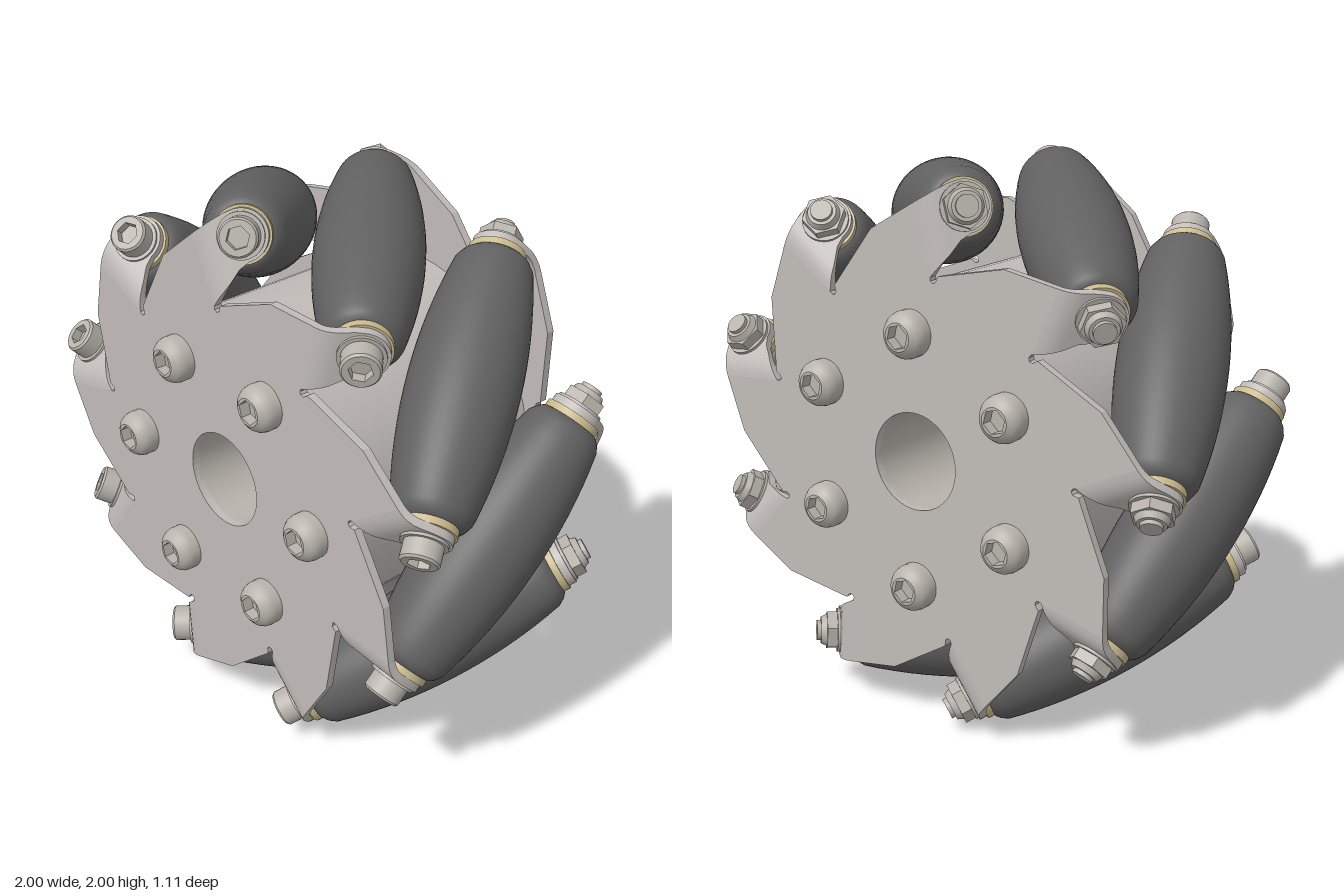
import * as THREE from 'three';
import { toCreasedNormals } from 'three/addons/utils/BufferGeometryUtils.js';

const RAD = Math.PI / 180;
const COUNT = 9;            // rollers
const RC = 0.81;            // roller centre radius
const SCREW = 62.6;         // polar angle of the first screw, degrees
const Z_PLATE = 0.462, THICK = 0.03, BORE = 0.175;
const BEND_X = 0.253, BEND_R = 0.1;

const material = (name, color, side = THREE.FrontSide) => {
  const m = new THREE.MeshStandardMaterial({ color, side });
  m.name = name;
  return m;
};

export function createModel() {
  const steel = material('plate steel', 0xc0bbb7);
  const boltSteel = material('bolt steel', 0xb8b3ac, THREE.DoubleSide);
  const rubber = material('dark rubber', 0x606060);
  const brass = material('brass bushing', 0xc9b98c);

  const add = (parent, name, geometry, mat) => {
    const mesh = new THREE.Mesh(geometry, mat);
    mesh.name = name;
    parent.add(mesh);
    return mesh;
  };
  const group = (parent, name) => {
    const g = new THREE.Group();
    g.name = name;
    parent.add(g);
    return g;
  };
  // Cylinder spanning y0..y1
  const rod = (r, y0, y1, sides = 32, open = false) =>
    new THREE.CylinderGeometry(r, r, y1 - y0, sides, 1, open).translate(0, (y0 + y1) / 2, 0);

  // Star-shaped flat plate with a slot beside every tab
  const polar = (r, deg) => new THREE.Vector2(r * Math.cos(deg * RAD), r * Math.sin(deg * RAD));
  const outline = [];
  for (let k = 0; k < COUNT; k++) {
    const turn = (k * 360) / COUNT;
    const spin = p => p.rotateAround(new THREE.Vector2(), turn * RAD);
    outline.push(
      spin(new THREE.Vector2(BEND_X, 0.61)),
      spin(new THREE.Vector2(BEND_X, 0.86)),
      polar(0.81, SCREW + 24 + turn),
      polar(0.67, SCREW + 42.3 + turn),
      polar(0.648, SCREW + 42.8 + turn),
      polar(0.642, SCREW + 43.8 + turn),
      polar(0.648, SCREW + 44.7 + turn));
  }
  const plateShape = new THREE.Shape(outline);
  plateShape.holes.push(new THREE.Path().absarc(0, 0, BORE, 0, Math.PI * 2, true));
  const plateGeo = new THREE.ExtrudeGeometry(plateShape, { depth: THICK, bevelEnabled: false, curveSegments: 24 })
    .translate(0, 0, Z_PLATE - THICK / 2);

  // Bent tab: stations [u, low, high] along a path that arcs 45 degrees inward
  const arcLength = BEND_R * Math.PI / 4, uScrew = 0.157, tip = 0.09;
  const stations = [[0, -0.2, 0.05], [0.02, -0.185, 0.056], [0.04, -0.17, 0.062], [0.06, -0.155, 0.069],
    [arcLength, -0.14, 0.075], [0.12, -0.105, 0.086]];
  for (let i = 0; i <= 10; i++) {
    const a = (i / 10) * Math.PI / 2;
    const h = i === 10 ? 0 : tip * Math.cos(a);
    stations.push([uScrew + tip * Math.sin(a), -h, h]);
  }
  const pos = [], index = [];
  stations.forEach(([u, low, high], i) => {
    const phi = Math.min(u, arcLength) / BEND_R, rest = Math.max(0, u - arcLength);
    const s = Math.sin(phi), c = Math.cos(phi);
    const x = BEND_X + BEND_R * s + rest * c;
    const z = Z_PLATE - BEND_R + BEND_R * c - rest * s;
    const h = THICK / 2;
    for (const [v, o] of [[low, h], [high, h], [high, -h], [low, -h]]) pos.push(x + s * o, RC + v, z + c * o);
    if (i === stations.length - 1) return;
    for (let j = 0; j < 4; j++) {
      const a = i * 4 + j, d = i * 4 + (j + 1) % 4;
      index.push(a, a + 4, d + 4, a, d + 4, d);
    }
  });
  let tabGeo = new THREE.BufferGeometry();
  tabGeo.setAttribute('position', new THREE.Float32BufferAttribute(pos, 3));
  tabGeo.setIndex(index);
  tabGeo = toCreasedNormals(tabGeo, 0.5);

  // Crowned roller: its outer line follows the wheel's rolling circle
  const crown = t => Math.sqrt(1 - t * t / 2) - RC;
  const profile = [[0, -0.5], [0.085, -0.5], [0.105, -0.494], [0.121, -0.48]];
  for (let i = 0; i <= 16; i++) {
    const t = -0.455 + (i / 16) * 0.91;
    profile.push([crown(t), t]);
  }
  profile.push([0.121, 0.48], [0.105, 0.494], [0.085, 0.5], [0, 0.5]);
  const rollerGeo = new THREE.LatheGeometry(profile.map(p => new THREE.Vector2(...p)), 48);

  // Hexagonal socket recessed into a head whose flat top is at height y
  const addSocket = (parent, outer, hex, y, depth) => {
    const face = new THREE.Shape().absarc(0, 0, outer, 0, Math.PI * 2);
    const points = [];
    for (let i = 0; i < 6; i++) points.push(polar(hex, -60 * i));
    face.holes.push(new THREE.Path(points));
    add(parent, 'headFace', new THREE.ShapeGeometry(face, 16).rotateX(-Math.PI / 2).translate(0, y, 0), boltSteel);
    add(parent, 'socketWall', toCreasedNormals(rod(hex, y - depth, y, 6, true).rotateY(Math.PI / 6), 0.3), boltSteel);
    add(parent, 'socketFloor', new THREE.CircleGeometry(hex, 6).rotateX(-Math.PI / 2).translate(0, y - depth, 0), boltSteel);
  };

  const capScrew = parent => {
    const g = group(parent, 'capScrew');
    add(g, 'washer', rod(0.08, 0.548, 0.56), boltSteel);
    add(g, 'headSide', rod(0.067, 0.555, 0.62, 32, true), boltSteel);
    add(g, 'headChamfer', new THREE.CylinderGeometry(0.06, 0.067, 0.008, 32, 1, true).translate(0, 0.624, 0), boltSteel);
    addSocket(g, 0.06, 0.04, 0.628, 0.035);
  };

  const lockNut = parent => {
    const g = group(parent, 'lockNut');
    add(g, 'washer', rod(0.082, 0.548, 0.56), boltSteel);
    add(g, 'nut', toCreasedNormals(rod(0.076, 0.56, 0.598, 6), 0.3), boltSteel);
    add(g, 'nutCollar', new THREE.CylinderGeometry(0.05, 0.06, 0.022, 32).translate(0, 0.609, 0), boltSteel);
    add(g, 'threadEnd', rod(0.038, 0.6, 0.635), boltSteel);
  };

  const domeGeo = new THREE.LatheGeometry(
    [[0.083, 0], [0.084, 0.03], [0.08, 0.048], [0.07, 0.064], [0.05, 0.078]].map(p => new THREE.Vector2(...p)), 32);

  // One face of the wheel, seen along +z
  const buildSide = (parent, name, fastener) => {
    const side = group(parent, name);
    add(side, 'sidePlate', plateGeo, steel);
    for (let k = 0; k < COUNT; k++) {
      const arm = group(side, 'rollerMount');
      arm.rotation.z = (k * Math.PI * 2) / COUNT;
      add(arm, 'bentTab', tabGeo, steel);
      const axle = group(arm, 'axleEnd');
      axle.position.y = RC;
      axle.rotation.set(Math.PI / 2, Math.PI / 4, 0, 'YXZ');
      add(axle, 'bushing', rod(0.1, 0.49, 0.521), brass);
      fastener(axle);
    }
    for (let k = 0; k < 6; k++) {
      const bolt = group(side, 'hubBolt');
      const p = polar(0.455, 14.8 + 60 * k);
      bolt.position.set(p.x, p.y, Z_PLATE + THICK / 2);
      bolt.rotation.x = Math.PI / 2;
      add(bolt, 'domeHead', domeGeo, boltSteel);
      addSocket(bolt, 0.05, 0.044, 0.078, 0.04);
    }
    return side;
  };

  const model = new THREE.Group();
  model.name = 'omnidirectionalWheel';
  const wheel = group(model, 'wheel');
  wheel.position.y = 1;
  wheel.rotation.z = -15.8 * RAD;

  buildSide(wheel, 'frontSide', capScrew);
  buildSide(wheel, 'backSide', lockNut).rotation.y = Math.PI;

  // Hub drum and bore between the plates
  add(wheel, 'hubDrum', rod(0.585, -0.45, 0.45, 64, true).rotateX(Math.PI / 2), steel);
  add(wheel, 'hubBore', rod(BORE, -0.46, 0.46, 48, true).rotateX(Math.PI / 2), boltSteel);

  // Rollers set at 45 degrees to the wheel axis
  for (let k = 0; k < COUNT; k++) {
    const holder = group(wheel, 'rollerHolder');
    holder.rotation.z = (k * Math.PI * 2) / COUNT;
    const roller = add(holder, 'roller', rollerGeo, rubber);
    roller.position.y = RC;
    roller.rotation.set(Math.PI / 2, Math.PI / 4, 0, 'YXZ');
  }
  return model;
}
